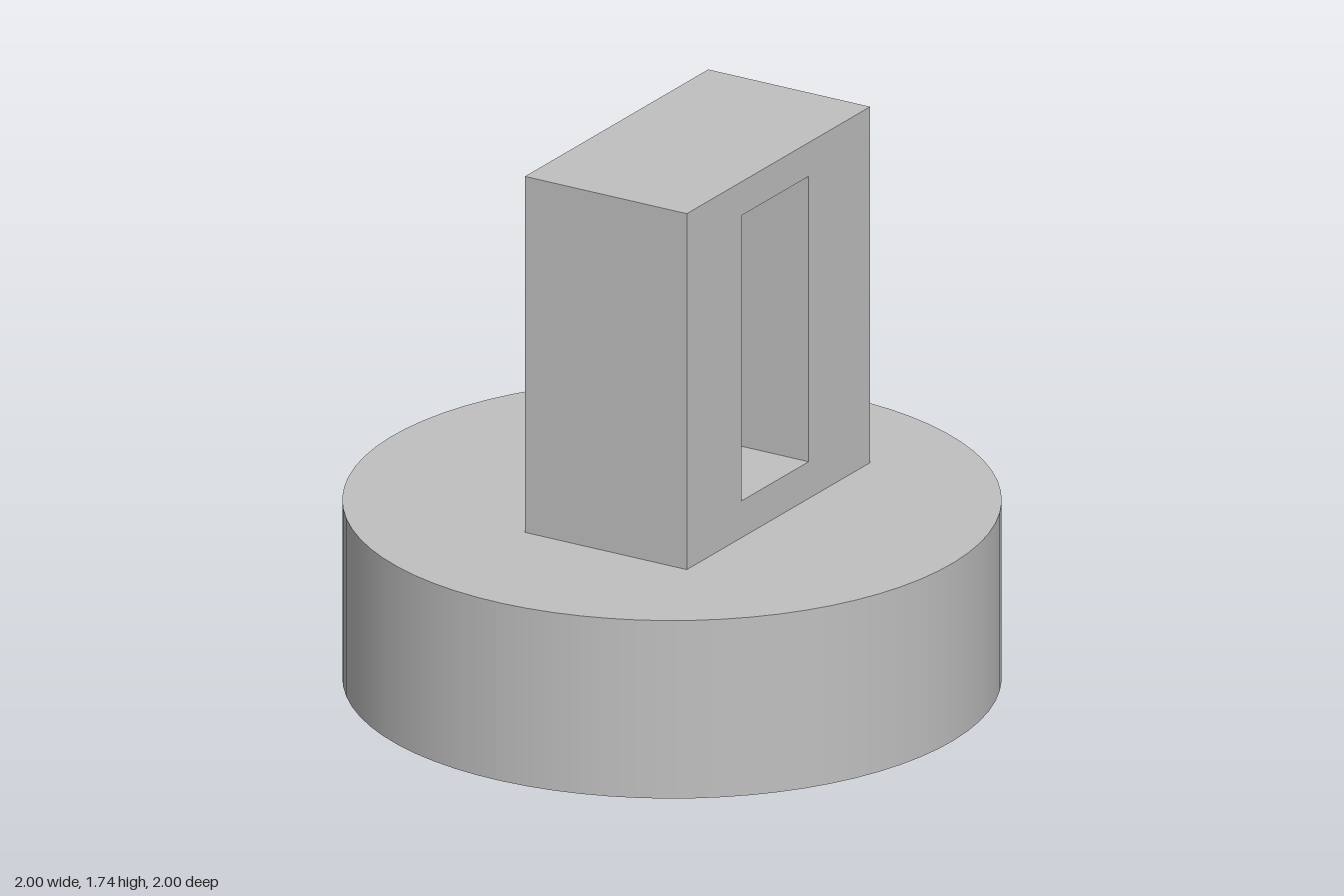
import * as THREE from 'three';

export function createModel() {
  const model = new THREE.Group();
  const grey = new THREE.MeshStandardMaterial({ color: 0xc0c0c0 });
  grey.name = 'grey';

  const baseHeight = 0.58;

  // Round base
  const base = new THREE.Mesh(new THREE.CylinderGeometry(1, 1, baseHeight, 72), grey);
  base.name = 'roundBase';
  base.position.y = baseHeight / 2;
  model.add(base);

  // Upright block with a rectangular window cut right through
  const width = 1.045, height = 1.16, depth = 0.58;
  const rectangle = (Type, x0, y0, x1, y1) => new Type([
    new THREE.Vector2(x0, y0), new THREE.Vector2(x1, y0),
    new THREE.Vector2(x1, y1), new THREE.Vector2(x0, y1),
  ]);
  const outline = rectangle(THREE.Shape, -width / 2, 0, width / 2, height);
  outline.holes.push(rectangle(THREE.Path, -0.21, 0.12, 0.172, 1.05));
  const geometry = new THREE.ExtrudeGeometry(outline, { depth, bevelEnabled: false });
  geometry.translate(0, 0, -depth / 2);

  // Turned and set slightly off centre on the base
  const block = new THREE.Mesh(geometry, grey);
  block.name = 'windowBlock';
  block.position.set(0.072, baseHeight, 0.034);
  block.rotation.y = 0.331;
  model.add(block);

  return model;
}
